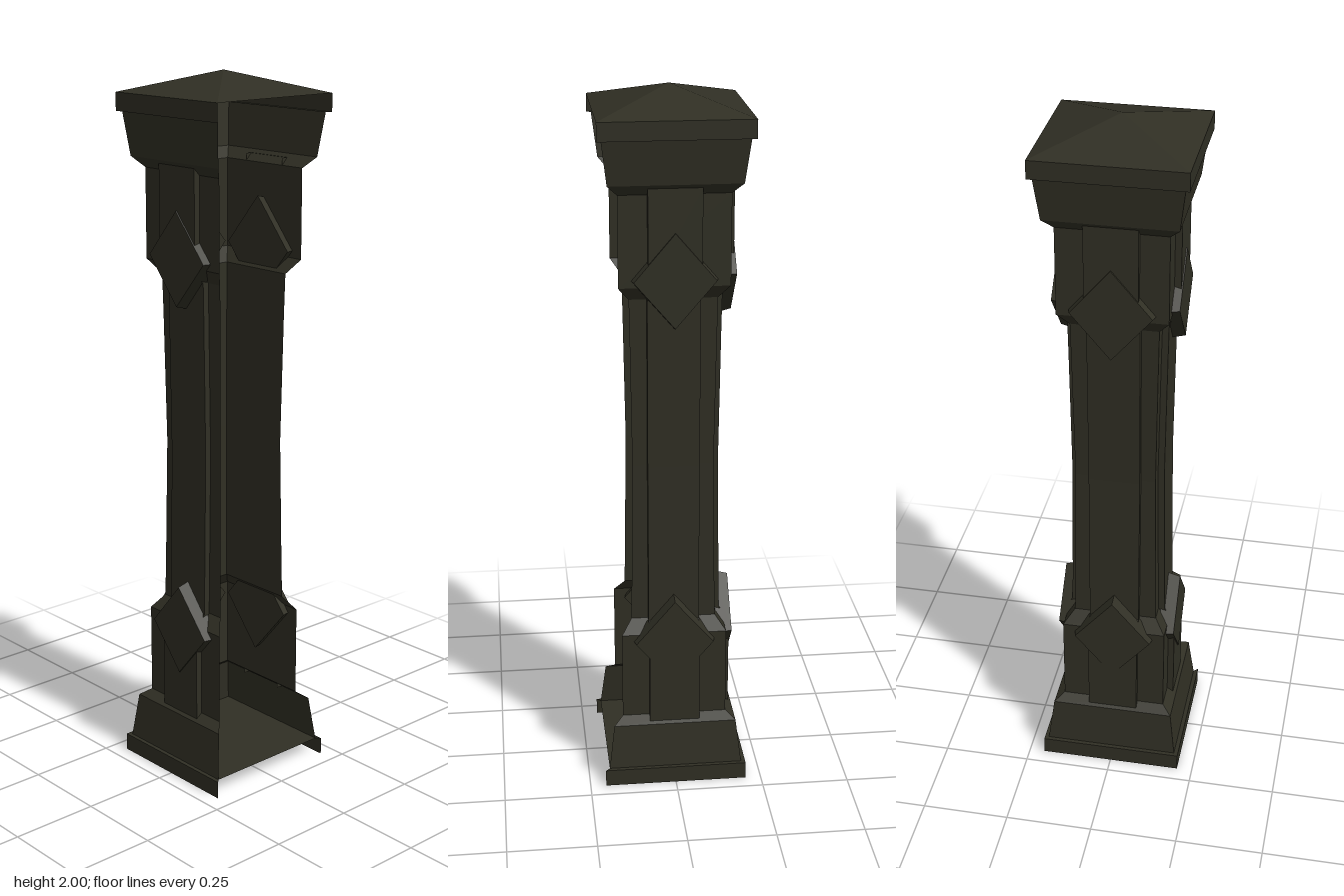
import * as THREE from 'three';

const stone = new THREE.MeshStandardMaterial({ color: 0x302f24, side: THREE.DoubleSide, flatShading: true });
stone.name = 'dark olive stone';

// [height, half width] up the pillar
const SHAFT = [
  [0.2, 0.15], [0.46, 0.15], [0.5, 0.12], [0.61, 0.118], [0.97, 0.113],
  [1.34, 0.118], [1.45, 0.12], [1.49, 0.15], [1.74, 0.15],
];
const BASE = [[0, 0.205], [0.05, 0.205], [0.05, 0.193], [0.18, 0.177], [0.2, 0.15]];
const CAPITAL = [[1.74, 0.15], [1.77, 0.178], [1.89, 0.193], [1.89, 0.205], [1.94, 0.205]];

// Joins a stack of cross-sections (bottom to top) into a flat-faced surface
function loft(sections) {
  const pos = [];
  for (let i = 0; i < sections.length - 1; i++) {
    for (let j = 0; j < sections[i].length - 1; j++) {
      const a = sections[i][j], b = sections[i][j + 1];
      const c = sections[i + 1][j + 1], d = sections[i + 1][j];
      pos.push(...a, ...b, ...c, ...a, ...c, ...d);
    }
  }
  const g = new THREE.BufferGeometry();
  g.setAttribute('position', new THREE.Float32BufferAttribute(pos, 3));
  g.computeVertexNormals();
  return g;
}

function add(parent, name, geometry) {
  const mesh = new THREE.Mesh(geometry, stone);
  mesh.name = name;
  parent.add(mesh);
  return mesh;
}

// One wall panel, spanning corner to corner
const panel = (profile) => loft(profile.map(([y, h]) => [[-h, y, h], [h, y, h]]));

// Raised strip following the shaft
const strip = (w, t) => loft(SHAFT.map(([y, h], i) => {
  const yy = i === 0 ? 0.185 : i === SHAFT.length - 1 ? 1.76 : y;
  return [[-w, yy, h], [-w, yy, h + t], [w, yy, h + t], [w, yy, h]];
}));

// Bevelled diamond plate with its face towards +z
function diamond(y) {
  const g = new THREE.CylinderGeometry(0.13, 0.142, 0.045, 4);
  g.rotateX(Math.PI / 2);
  g.scale(0.85, 1, 1);
  g.translate(0, y, 0.149);
  return g;
}

export function createModel() {
  const model = new THREE.Group();
  model.name = 'pillar';

  // Three decorated sides; the front is open
  const sides = [['left', Math.PI / 2], ['back', Math.PI], ['right', -Math.PI / 2]];
  for (const [name, angle] of sides) {
    const side = new THREE.Group();
    side.name = name + 'Side';
    side.rotation.y = angle;
    add(side, 'baseWall', panel(BASE));
    add(side, 'shaftWall', panel(SHAFT));
    add(side, 'capitalWall', panel(CAPITAL));
    add(side, 'raisedStrip', strip(0.072, 0.018));
    add(side, 'lowerDiamond', diamond(0.44));
    add(side, 'upperDiamond', diamond(1.51));
    model.add(side);
  }

  // Floor set slightly above the foot
  const floor = new THREE.PlaneGeometry(0.386, 0.386).rotateX(-Math.PI / 2);
  add(model, 'floor', floor).position.y = 0.05;

  // Shallow pyramid roof
  const roof = new THREE.ConeGeometry(0.205 * Math.SQRT2, 0.06, 4, 1, true).rotateY(Math.PI / 4);
  add(model, 'roof', roof).position.y = 1.97;

  return model;
}
